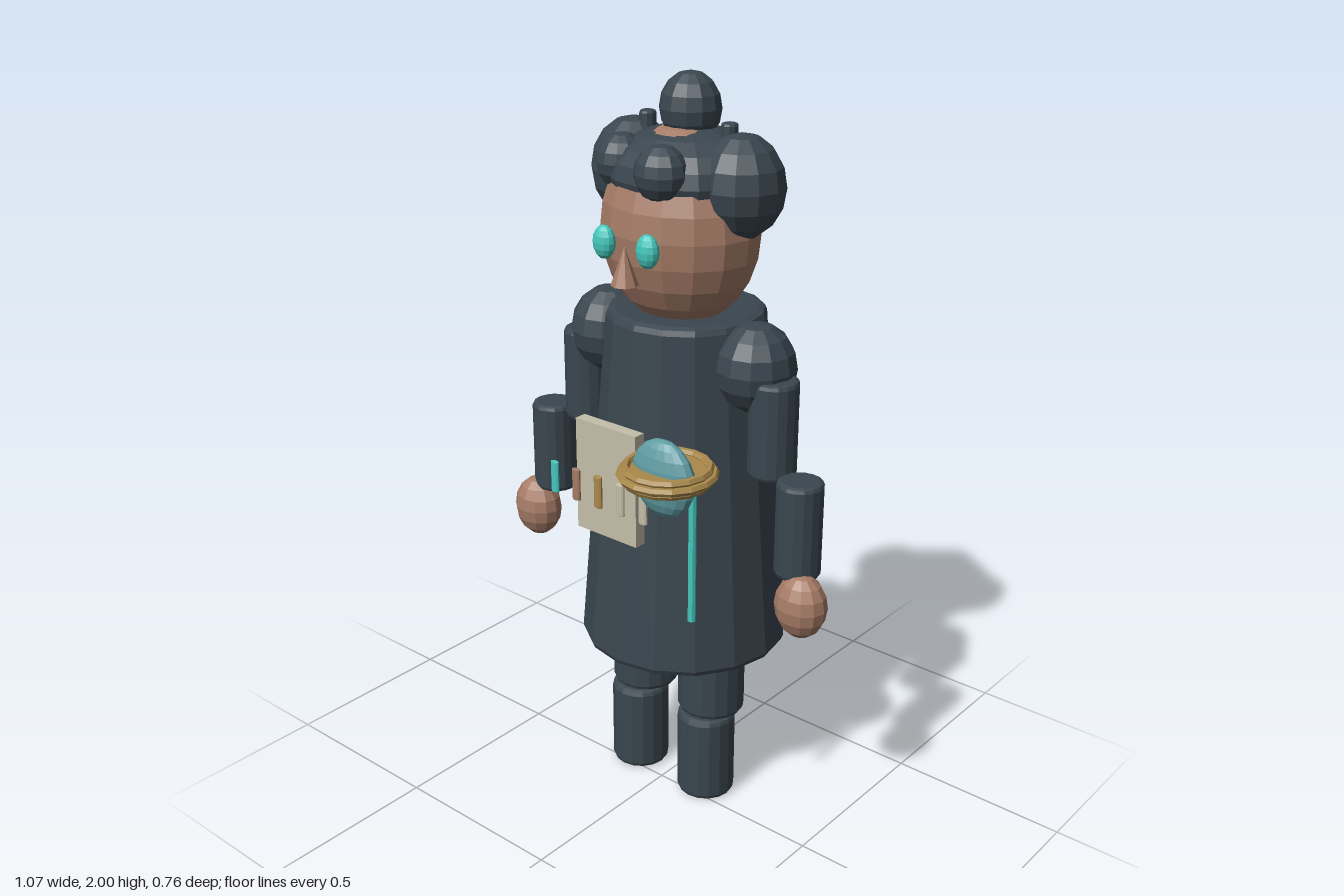
import * as THREE from 'three';

const mat = (name, color) => {
  const m = new THREE.MeshStandardMaterial({ color, flatShading: true });
  m.name = name;
  return m;
};

export function createModel() {
  const root = new THREE.Group();
  root.name = 'robedFigure';

  const cloth = mat('charcoal', 0x3a464f);
  const skin = mat('skin', 0xa67c67);
  const teal = mat('teal', 0x45c8bd);
  const glass = mat('blueGlass', 0x609ca3);
  const gold = mat('gold', 0xaa8a4b);
  const cream = mat('cream', 0xc5beaa);

  const add = (name, geo, material, x, y, z, parent = root) => {
    const mesh = new THREE.Mesh(geo, material);
    mesh.name = name;
    mesh.position.set(x, y, z);
    parent.add(mesh);
    return mesh;
  };

  // Faceted ellipsoid
  const ball = (name, material, [x, y, z], [rx, ry, rz], seg = 12, rings = 8, parent = root) =>
    add(name, new THREE.SphereGeometry(1, seg, rings).scale(rx, ry, rz), material, x, y, z, parent);

  // Upright drum with softly bevelled rims, from y0 to y1
  const drum = (name, material, x, z, y0, y1, r0, r1, bevel = 0.012, seg = 16, parent = root) => {
    const h = y1 - y0;
    const pts = [
      [0, 0], [r0 - bevel, 0], [r0 - bevel * 0.3, bevel * 0.3], [r0, bevel],
      [r1, h - bevel], [r1 - bevel * 0.3, h - bevel * 0.3], [r1 - bevel, h], [0, h],
    ].map(([r, y]) => new THREE.Vector2(r, y));
    return add(name, new THREE.LatheGeometry(pts, seg), material, x, y0, z, parent);
  };

  // Robe
  drum('robe', cloth, 0, -0.1, 0.455, 1.408, 0.285, 0.21, 0.02);

  // Head and face
  ball('head', skin, [0, 1.62, -0.075], [0.215, 0.255, 0.19], 16, 12);
  add('nose', new THREE.ConeGeometry(0.035, 0.097, 8), skin, 0, 1.563, 0.14);

  // Hair: cap, top knot and uneven front curls
  ball('hairCap', cloth, [0, 1.75, -0.1], [0.21, 0.122, 0.197], 16, 10);
  ball('topKnot', cloth, [0, 1.91, -0.11], [0.08, 0.09, 0.077]);
  ball('frontCurl', cloth, [-0.125, 1.78, 0.005], [0.066, 0.072, 0.066]);
  ball('frontCurl', cloth, [0.045, 1.78, 0.055], [0.072, 0.072, 0.064]);

  // Paired parts
  for (const s of [1, -1]) {
    const side = s > 0 ? 'left' : 'right';
    ball(side + 'Eye', teal, [s * 0.07, 1.61, 0.135], [0.032, 0.043, 0.024]);
    ball(side + 'HairBun', cloth, [s * 0.172, 1.742, -0.095], [0.112, 0.131, 0.113]);
    drum(side + 'HairPin', cloth, s * 0.13, -0.1, 1.8, 1.89, 0.022, 0.022, 0.007, 10);

    const arm = new THREE.Group();
    arm.name = side + 'Arm';
    root.add(arm);
    ball('shoulder', cloth, [s * 0.245, 1.3, -0.075], [0.105, 0.117, 0.107], 12, 8, arm);
    drum('upperArm', cloth, s * 0.315, -0.06, 1.03, 1.29, 0.064, 0.064, 0.012, 16, arm);
    drum('forearm', cloth, s * 0.423, -0.033, 0.795, 1.055, 0.061, 0.061, 0.012, 16, arm);
    ball('hand', skin, [s * 0.463, 0.732, 0.003], [0.072, 0.088, 0.061], 12, 8, arm);

    const leg = new THREE.Group();
    leg.name = side + 'Leg';
    root.add(leg);
    drum('thigh', cloth, s * 0.12, -0.073, 0.26, 0.53, 0.093, 0.093, 0.014, 16, leg);
    drum('shin', cloth, s * 0.122, -0.05, 0, 0.257, 0.081, 0.081, 0.014, 16, leg);
  }

  // Chest panel with a row of small vials
  add('chestPanel', new THREE.BoxGeometry(0.2, 0.305, 0.033), cream, 0, 1.012, 0.203);
  [teal, skin, gold, cream, cream].forEach((m, i) => {
    const vial = drum('vial', m, (i - 2) * 0.075, 0.249, 0.953, 1.04, 0.013, 0.013, 0.003, 10);
    vial.scale.z = 0.55;
  });

  // Ringed globe with a hanging rod
  const globe = new THREE.Group();
  globe.name = 'ringedGlobe';
  root.add(globe);
  const gx = 0.232, gz = 0.253;
  ball('globe', glass, [gx, 1.11, 0.268], [0.095, 0.1, 0.04], 16, 10, globe);
  add('dish', new THREE.CylinderGeometry(0.1, 0.1, 0.026, 16), gold, gx, 1.118, gz, globe);
  for (const [r, y] of [[0.115, 1.118], [0.103, 1.133], [0.103, 1.104]]) {
    const ring = new THREE.TorusGeometry(r, 0.011, 6, 16).rotateX(Math.PI / 2);
    add('ring', ring, gold, gx, y, gz, globe);
  }
  add('rod', new THREE.CylinderGeometry(0.01, 0.01, 0.37, 8), teal, 0.31, 0.925, 0.252, globe);

  return root;
}
